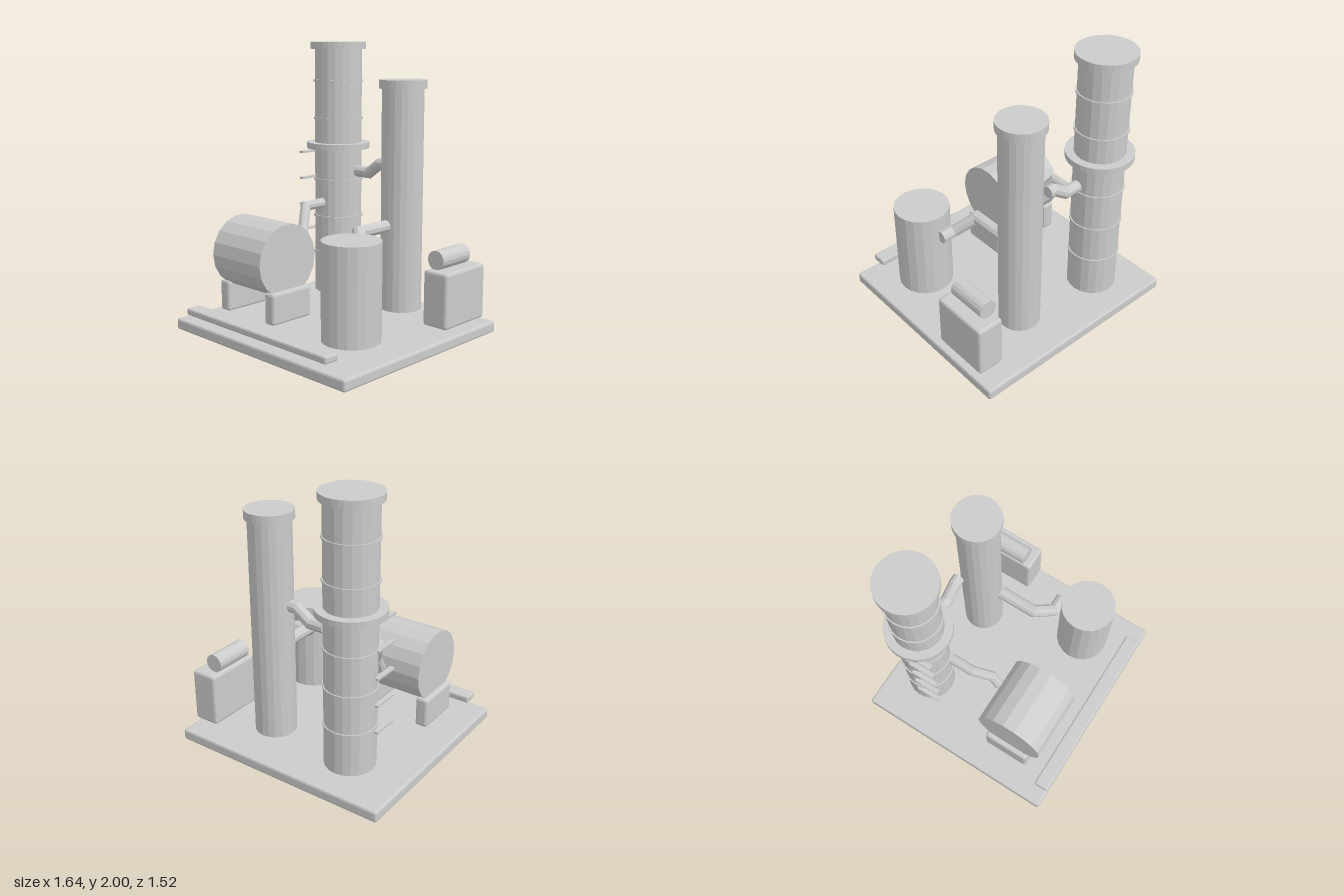
import * as THREE from 'three';
import { RoundedBoxGeometry } from 'three/addons/geometries/RoundedBoxGeometry.js';

const FLOOR = 0.135;

export function createModel() {
  const model = new THREE.Group();
  model.name = 'processPlant';
  const material = new THREE.MeshStandardMaterial({ color: 0xcccccc, flatShading: true });

  function add(name, geometry, parent = model) {
    const mesh = new THREE.Mesh(geometry, material);
    mesh.name = name;
    parent.add(mesh);
    return mesh;
  }

  // Chamfered block given by its extents
  function block(name, [x0, x1], [y0, y1], [z0, z1], bevel = 0.015) {
    const g = new RoundedBoxGeometry(x1 - x0, y1 - y0, z1 - z0, 1, bevel);
    add(name, g).position.set((x0 + x1) / 2, (y0 + y1) / 2, (z0 + z1) / 2);
  }

  // Upright drum between two heights
  function drum(name, r, y0, y1, x, z, parent = model, sides = 20) {
    const mesh = add(name, new THREE.CylinderGeometry(r, r, y1 - y0, sides), parent);
    mesh.position.set(x, (y0 + y1) / 2, z);
    return mesh;
  }

  // Capped pipe with mitred elbows: each ring slides along its run onto the next mitre plane
  function pipe(name, r, coords, sides = 10) {
    const pts = coords.map((c) => new THREE.Vector3(...c));
    const dirs = pts.slice(1).map((p, i) => p.clone().sub(pts[i]).normalize());
    const u = new THREE.Vector3(0, 1, 0);
    const v = dirs[0].clone().cross(u).normalize();
    u.copy(v).cross(dirs[0]);
    let ring = [];
    for (let i = 0; i < sides; i++) {
      const a = (i / sides) * Math.PI * 2;
      ring.push(pts[0].clone().addScaledVector(u, r * Math.cos(a)).addScaledVector(v, r * Math.sin(a)));
    }
    const verts = [];
    const tri = (...ps) => ps.forEach((p) => verts.push(p.x, p.y, p.z));
    ring.forEach((p, i) => tri(pts[0], ring[(i + 1) % sides], p));
    dirs.forEach((d, k) => {
      const n = d.clone();
      if (dirs[k + 1]) n.add(dirs[k + 1]);
      const next = ring.map((p) =>
        p.clone().addScaledVector(d, pts[k + 1].clone().sub(p).dot(n) / d.dot(n)));
      for (let i = 0; i < sides; i++) {
        const j = (i + 1) % sides;
        tri(ring[i], ring[j], next[j]);
        tri(ring[i], next[j], next[i]);
      }
      ring = next;
    });
    ring.forEach((p, i) => tri(pts[pts.length - 1], p, ring[(i + 1) % sides]));
    const g = new THREE.BufferGeometry();
    g.setAttribute('position', new THREE.Float32BufferAttribute(verts, 3));
    g.computeVertexNormals();
    add(name, g);
  }

  // Ground slab and front kerb
  block('baseSlab', [-0.82, 0.82], [0, 0.08], [-0.76, 0.76]);
  block('frontKerb', [-0.7, 0.665], [0.13, 0.18], [0.65, 0.76], 0.012);

  // Tall column with cap, platform, hoops and rungs
  const tower = new THREE.Group();
  tower.name = 'tallColumn';
  model.add(tower);
  const tx = -0.414, tz = -0.455;
  drum('columnShell', 0.175, FLOOR, 1.96, tx, tz, tower);
  drum('columnCap', 0.203, 1.95, 2, tx, tz, tower, 32);
  drum('platform', 0.233, 1.22, 1.265, tx, tz, tower, 32);
  for (const y of [0.44, 0.715, 0.99, 1.445, 1.72]) {
    drum('hoop', 0.184, y - 0.008, y + 0.008, tx, tz, tower);
  }
  for (let i = 0; i < 5; i++) {
    add('ladderRung', new THREE.BoxGeometry(0.036, 0.015, 0.19), tower)
      .position.set(-0.589, 0.405 + i * 0.196, -0.335);
  }

  // Second column
  drum('secondColumn', 0.146, FLOOR, 1.7, 0.25, -0.41);
  drum('secondColumnCap', 0.165, 1.69, 1.75, 0.25, -0.41, model, 32);

  // Horizontal drum on two saddles
  const tank = add('horizontalTank', new THREE.CylinderGeometry(0.252, 0.252, 0.488, 18));
  tank.rotation.z = Math.PI / 2;
  tank.position.set(-0.344, 0.553, 0.353);
  for (const x of [-0.578, -0.11]) {
    block('tankSaddle', [x - 0.046, x + 0.046], [FLOOR, 0.355], [0.175, 0.52], 0.018);
  }

  // Vertical tank
  drum('verticalTank', 0.195, 0.14, 0.79, 0.485, 0.35);

  // Pump housing with a motor on top
  block('pumpHousing', [0.605, 0.8], [0.13, 0.513], [-0.645, -0.22], 0.018);
  const motor = add('motor', new THREE.CylinderGeometry(0.066, 0.066, 0.295, 16));
  motor.rotation.x = Math.PI / 2;
  motor.position.set(0.664, 0.576, -0.423);

  // Connecting pipes
  pipe('columnLinkPipe', 0.042,
    [[-0.215, 1.063, -0.455], [-0.1, 1.063, -0.455], [0.008, 1.14, -0.455], [0.055, 1.14, -0.455]]);
  pipe('horizontalTankPipe', 0.037,
    [[-0.378, 0.83, -0.25], [-0.378, 0.83, -0.08], [-0.295, 0.66, 0.03], [-0.295, 0.56, 0.085]]);
  pipe('verticalTankPipe', 0.045,
    [[0.252, 0.75, -0.24], [0.252, 0.75, 0.03], [0.38, 0.635, 0.135], [0.49, 0.635, 0.135]]);

  return model;
}
